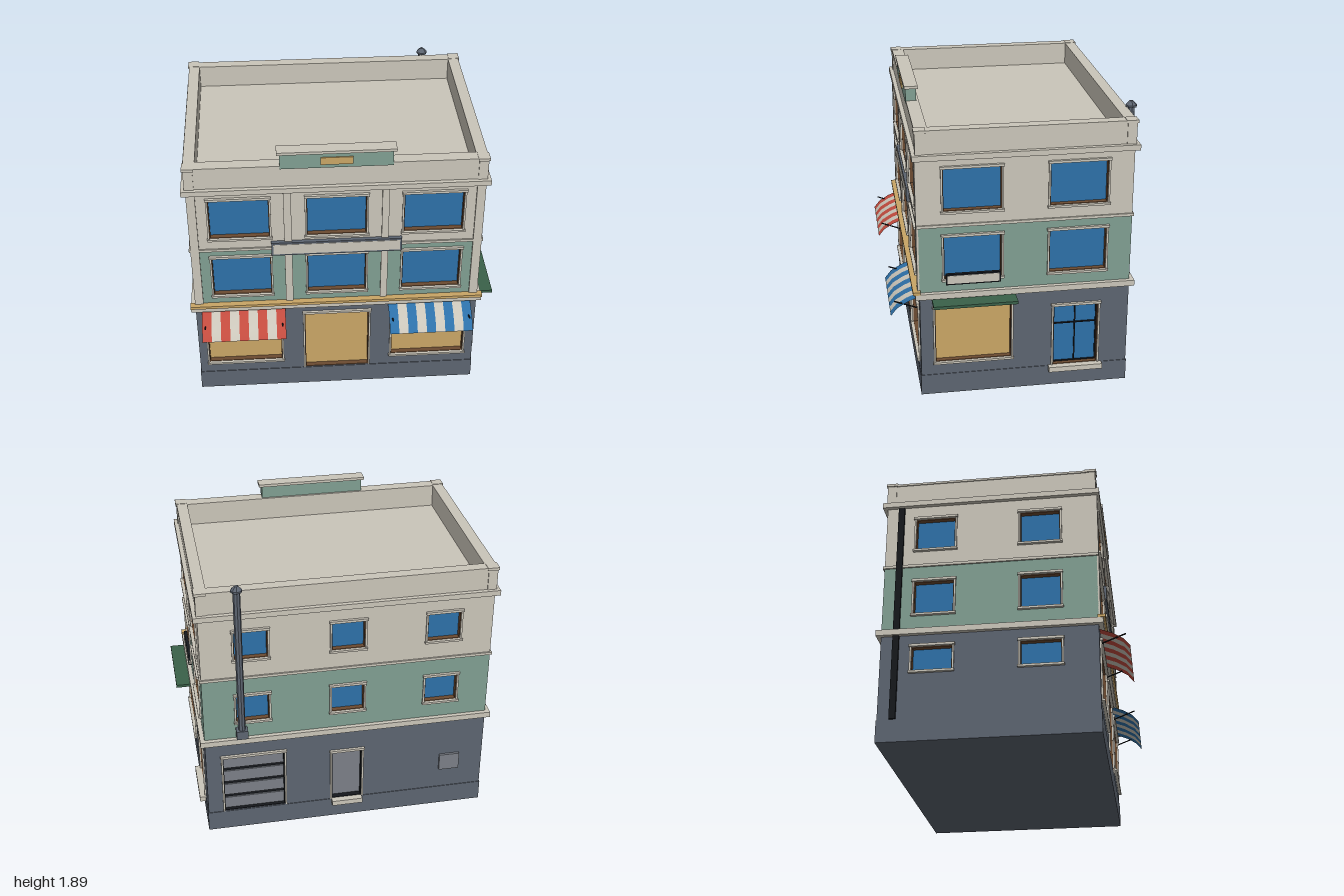
import * as THREE from 'three';

const paint = (name, color) => Object.assign(new THREE.MeshStandardMaterial({ color }), { name });
const stone = paint('stone', 0xcac5b9);
const green = paint('sage green', 0x809e91);
const slate = paint('slate', 0x5c6470);
const blue = paint('blue', 0x2d70a8);
const gold = paint('gold', 0xc9a565);
const red = paint('red', 0xc24b3e);
const forest = paint('forest green', 0x3a6149);
const black = paint('black', 0x15181c);
const grey = paint('grey', 0x7b7f87);
const brown = paint('brown', 0x6b4a30);

// Main block limits and depth of the window recesses
const X0 = -0.97, X1 = 0.88, Z0 = -0.73, Z1 = 0.605, T = 0.04;

function add(parent, name, geo, mat) {
  const m = new THREE.Mesh(geo, mat);
  m.name = name;
  parent.add(m);
  return m;
}

// Box given by its limits on each axis
function box(parent, name, mat, x0, x1, y0, y1, z0, z1) {
  const g = new THREE.BoxGeometry(x1 - x0, y1 - y0, z1 - z0);
  g.translate((x0 + x1) / 2, (y0 + y1) / 2, (z0 + z1) / 2);
  return add(parent, name, g, mat);
}

// Box around the whole block, grown by d
const band = (p, name, mat, y0, y1, d) => box(p, name, mat, X0 - d, X1 + d, y0, y1, Z0 - d, Z1 + d);

// Wall slab with rectangular holes, outer face at z = 0
function wall(face, mat, u0, u1, y0, y1, openings) {
  const rect = (C, a, b, c, d) => new C([[a, c], [b, c], [b, d], [a, d]].map(p => new THREE.Vector2(...p)));
  const s = rect(THREE.Shape, u0, u1, y0, y1);
  for (const o of openings) {
    if (o.y0 > y0 && o.y1 < y1) s.holes.push(rect(THREE.Path, o.u0, o.u1, o.y0, o.y1));
  }
  const g = new THREE.ExtrudeGeometry(s, { depth: T, bevelEnabled: false });
  g.translate(0, 0, -T);
  add(face, 'wall', g, mat);
}

// Pane, reveal, casing, head and sill of one opening
function fitOpening(face, o) {
  const { u0, u1, y0, y1, pane, reveal, step } = o;
  const g = new THREE.Group();
  g.name = o.name;
  face.add(g);
  box(g, 'pane', pane, u0, u1, y0, y1, -T, -T + 0.006);
  const r = 0.004, c = 0.012;
  for (const [a, b] of [[u0, u0 + r], [u1 - r, u1]]) box(g, 'reveal', reveal, a, b, y0, y1, -T, 0);
  for (const [a, b] of [[y0, y0 + r], [y1 - r, y1]]) box(g, 'reveal', reveal, u0, u1, a, b, -T, 0);
  for (const [a, b] of [[u0 - c, u0], [u1, u1 + c]]) box(g, 'casing', stone, a, b, y0, y1, -0.005, 0.01);
  box(g, 'head', stone, u0 - 0.016, u1 + 0.016, y1, y1 + 0.016, -0.005, 0.018);
  if (step) box(g, 'step', stone, u0 - step, u1 + step, y0 - 0.035, y0, -0.005, 0.042);
  else if (!o.noSill) box(g, 'sill', stone, u0 - 0.016, u1 + 0.016, y0 - 0.014, y0, -0.005, 0.02);
  return g;
}

const win = (u, w, y0, y1, pane = blue, reveal = brown, more = {}) =>
  ({ name: 'window', u0: u - w / 2, u1: u + w / 2, y0, y1, pane, reveal, ...more });

// One side of the building: three wall storeys and its openings
function facade(root, name, pos, turn, u0, u1, openings) {
  const face = new THREE.Group();
  face.name = name;
  face.position.set(...pos);
  face.rotation.y = turn;
  root.add(face);
  wall(face, slate, u0, u1, 0.14, 0.7, openings);
  wall(face, green, u0, u1, 0.7, 1.17, openings);
  wall(face, stone, u0, u1, 1.17, 1.62, openings);
  openings.forEach(o => fitOpening(face, o));
  return face;
}

// Framed sign board
function board(face, name, edge, u0, u1, y0, y1, depth, rim) {
  box(face, name + 'Frame', edge, u0, u1, y0, y1, 0, depth);
  box(face, name + 'Panel', stone, u0 + rim, u1 - rim, y0 + rim, y1 - rim, depth, depth + 0.003);
}

// Striped cloth awning on two rods
function awning(root, name, color, x0, x1) {
  const g = new THREE.Group();
  g.name = name;
  root.add(g);
  const profile = [[0.605, 0.68], [0.68, 0.65], [0.745, 0.61], [0.785, 0.56]];
  const cloth = [color, stone].map(m => {
    const d = m.clone();
    d.side = THREE.DoubleSide;
    return d;
  });
  const w = (x1 - x0) / 9;
  for (let i = 0; i < 9; i++) {
    const geo = new THREE.PlaneGeometry(w, 1, 1, 3);
    const p = geo.attributes.position;
    for (let k = 0; k < p.count; k++) {
      const [z, y] = profile[Math.floor(k / 2)];
      p.setXYZ(k, x0 + w * (i + 0.5) + p.getX(k), y, z);
    }
    geo.computeVertexNormals();
    add(g, 'stripe', geo, cloth[i % 2]);
  }
  for (const x of [x0 + 0.022, x1 - 0.022]) {
    const rod = add(g, 'rod', new THREE.BoxGeometry(0.008, 0.006, 0.166), black);
    rod.position.set(x, 0.62, 0.683);
    rod.rotation.x = -Math.atan2(0.06, 0.155);
  }
}

export function createModel() {
  const root = new THREE.Group();
  root.name = 'cornerShopBuilding';

  // Solid core, plinth and horizontal bands
  band(root, 'core', slate, 0.1, 1.62, -T);
  band(root, 'plinth', slate, 0, 0.14, 0.004);
  band(root, 'shopCornice', stone, 0.69, 0.728, 0.028);
  band(root, 'stringCourse', stone, 1.165, 1.183, 0.01);
  band(root, 'roofCornice', stone, 1.605, 1.64, 0.028);
  box(root, 'goldTrim', gold, X0 - 0.03, X1 + 0.03, 0.726, 0.745, 0.6, 0.647);

  // Front
  const frontWins = [-0.655, -0.045, 0.565].flatMap(u => [win(u, 0.375, 0.81, 1.11), win(u, 0.375, 1.265, 1.553)]);
  const front = facade(root, 'front', [0, 0, Z1], 0, X0, X1, [
    ...frontWins,
    win(-0.66, 0.49, 0.23, 0.61, gold),
    win(0.567, 0.49, 0.23, 0.61, gold),
    win(-0.045, 0.425, 0.145, 0.622, gold, brown, { name: 'entrance', noSill: true }),
  ]);
  for (const [a, b] of [[X0, -0.915], [-0.377, -0.329], [0.238, 0.282], [0.825, X1]]) {
    box(front, 'pilaster', stone, a, b, 0.728, 1.605, -0.002, 0.012);
  }
  board(front, 'longSign', slate, -0.46, 0.367, 1.13, 1.227, 0.027, 0.012);
  awning(root, 'redAwning', red, -0.93, -0.385);
  awning(root, 'blueAwning', blue, 0.293, 0.838);

  // Right-hand street side
  const door = win(0.39, 0.29, 0.145, 0.572, blue, brown, { name: 'glassDoor', step: 0.03 });
  const right = facade(root, 'streetSide', [X1, 0, 0], Math.PI / 2, -Z1 + T, -Z0 - T, [
    ...[-0.27, 0.39].flatMap(u => [win(u, 0.36, 0.815, 1.1), win(u, 0.36, 1.268, 1.545)]),
    win(-0.27, 0.485, 0.232, 0.612, gold),
    door,
  ]);
  for (const u of [door.u0 + 0.007, 0.39, door.u1 - 0.007]) {
    box(right, 'doorBar', black, u - 0.004, u + 0.004, door.y0, door.y1, -T, -T + 0.014);
  }
  for (const y of [0.152, 0.43, 0.565]) {
    box(right, 'doorBar', black, door.u0, door.u1, y - 0.004, y + 0.004, -T, -T + 0.014);
  }
  board(right, 'smallSign', black, -0.44, -0.098, 0.78, 0.852, 0.022, 0.009);
  box(right, 'greenCanopy', forest, -0.53, -0.003, 0.666, 0.685, 0, 0.12);

  // Back, with shutter, service door, vent and flue
  const back = facade(root, 'back', [0, 0, Z0], Math.PI, -X1, -X0, [
    ...[-0.565, 0.045, 0.655].flatMap(u => [win(u, 0.21, 0.85, 1.04), win(u, 0.21, 1.31, 1.505)]),
    win(-0.57, 0.4, 0.145, 0.575, black, black, { name: 'shutter', noSill: true }),
    win(0.045, 0.2, 0.145, 0.525, grey, black, { name: 'serviceDoor', step: 0.002 }),
  ]);
  for (let i = 0; i < 4; i++) {
    box(back, 'shutterSlat', grey, -0.766, -0.374, 0.148 + i * 0.108, 0.232 + i * 0.108, -T, -T + 0.016);
  }
  box(back, 'vent', grey, 0.675, 0.81, 0.29, 0.41, 0, 0.016);
  box(back, 'flueFoot', slate, -0.678, -0.605, 0.745, 0.805, 0, 0.057);
  const flue = (name, r0, r1, y0, y1) => add(back, name, new THREE.CylinderGeometry(r1, r0, y1 - y0, 8)
    .toNonIndexed().translate(-0.641, (y0 + y1) / 2, 0.028), flueMat);
  const flueMat = slate.clone();
  flueMat.flatShading = true;
  flue('flue', 0.023, 0.023, 0.8, 1.81);
  flue('flueCapRim', 0.036, 0.036, 1.798, 1.81);
  flue('flueCap', 0.036, 0.012, 1.81, 1.835);

  // Left side with drainpipe
  const left = facade(root, 'alleySide', [X0, 0, 0], -Math.PI / 2, Z0 + T, Z1 - T,
    [-0.41, 0.255].flatMap(u => [win(u, 0.25, 0.45, 0.61), win(u, 0.25, 0.835, 1.06), win(u, 0.25, 1.29, 1.51)]));
  box(left, 'drainpipe', black, -0.655, -0.615, 0.145, 1.6, 0, 0.014);

  // Parapet walls and cap around the sunken roof
  const W = 0.065;
  const ring = (name, y0, y1, d) => {
    for (const [a, b] of [[Z0 - d, Z0 + W], [Z1 - W - 0.01, Z1 + d]]) box(root, name, stone, X0 - d, X1 + d, y0, y1, a, b);
    for (const [a, b] of [[X0 - d, X0 + W], [X1 - W, X1 + d]]) box(root, name, stone, a, b, y0, y1, Z0 + W, Z1 - W - 0.01);
  };
  ring('parapet', 1.62, 1.776, 0);
  ring('parapetCap', 1.776, 1.79, 0.006);
  for (const [xa, xb] of [[X0 - 0.006, X0 + 0.053], [X1 - 0.053, X1 + 0.006]]) {
    for (const [za, zb] of [[Z0 - 0.006, Z0 + 0.053], [Z1 - 0.053, Z1 + 0.006]]) {
      box(root, 'cornerPier', stone, xa, xb, 1.63, 1.78, za, zb);
      box(root, 'pierCap', stone, xa - 0.007, xb + 0.007, 1.775, 1.793, za - 0.007, zb + 0.007);
    }
  }

  // Raised crest on the front parapet
  box(root, 'crest', green, -0.392, 0.3, 1.77, 1.873, 0.545, 0.613);
  box(root, 'crestCap', stone, -0.41, 0.32, 1.872, 1.89, 0.535, 0.622);
  box(root, 'crestPlate', gold, -0.145, 0.055, 1.795, 1.845, 0.61, 0.62);
  return root;
}
